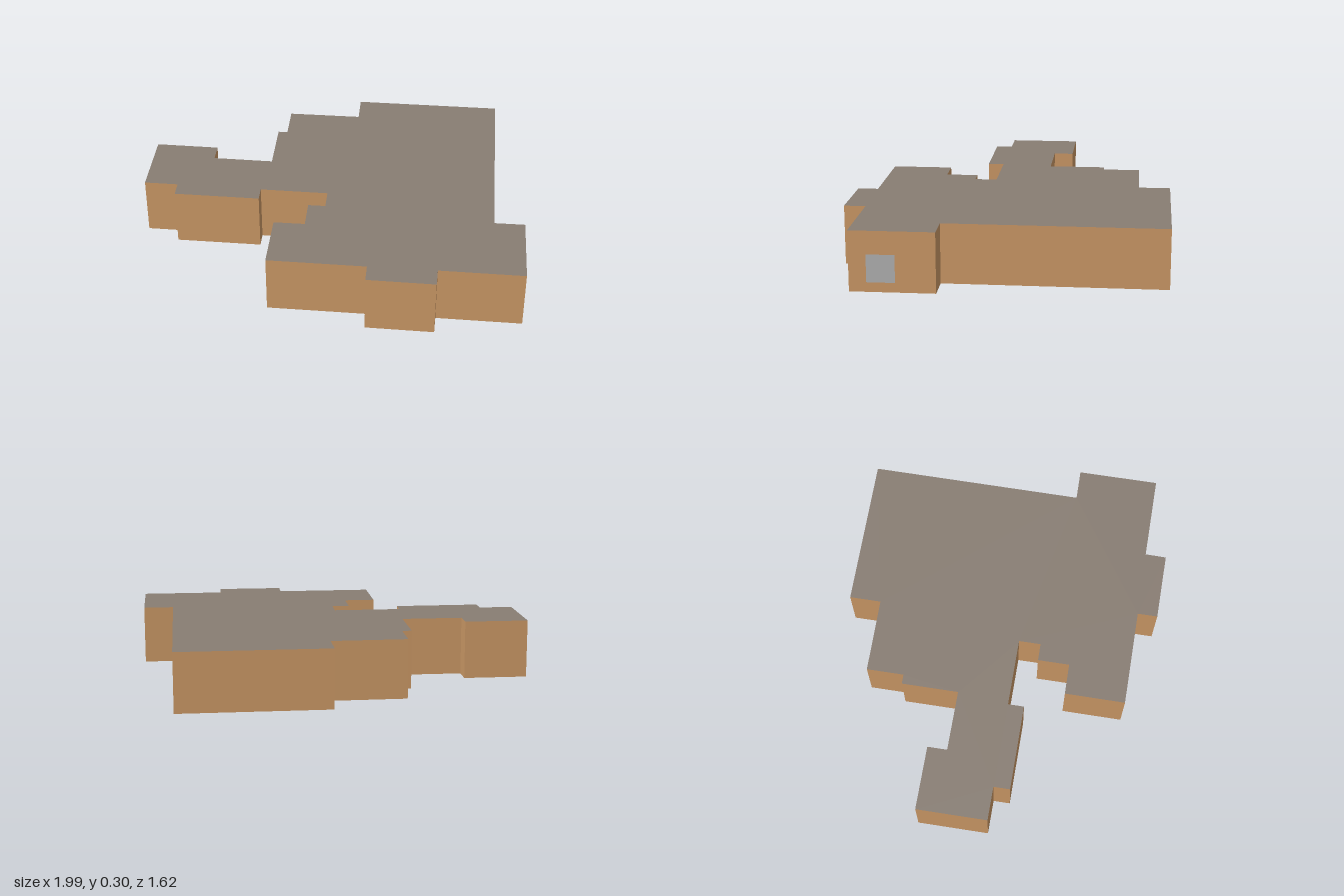
import * as THREE from 'three';
import { mergeGeometries } from 'three/addons/utils/BufferGeometryUtils.js';

const HEIGHT = 0.3;

// Floor plan corners as [x, z], running round from the back edge
const PLAN = [
  [0.07, -0.81], [0.835, -0.805], [0.83, 0.29], [0.985, 0.29],
  [0.985, 0.705], [0.557, 0.70], [0.555, 0.808], [0.213, 0.803],
  [0.213, 0.70], [-0.284, 0.695], [-0.283, 0.383], [-0.124, 0.383],
  [-0.124, 0.22], [-0.035, 0.22], [-0.035, 0.107], [-0.385, 0.103],
  [-0.385, 0.186], [-0.826, 0.182], [-0.826, 0.097], [-1, 0.095],
  [-1, -0.271], [-0.672, -0.267], [-0.672, -0.165], [-0.36, -0.161],
  [-0.36, -0.455], [-0.311, -0.456], [-0.311, -0.648], [0.07, -0.648],
];

// One upright panel between two plan corners, facing outwards
function wallPanel([ax, az], [bx, bz]) {
  const panel = new THREE.PlaneGeometry(Math.hypot(bx - ax, bz - az), HEIGHT);
  panel.rotateY(Math.atan2(bz - az, ax - bx));
  return panel.translate((ax + bx) / 2, HEIGHT / 2, (az + bz) / 2);
}

export function createModel() {
  const wallPaint = new THREE.MeshStandardMaterial({ color: 0xcc9966, side: THREE.DoubleSide });
  wallPaint.name = 'tan wall';
  const roofPaint = new THREE.MeshStandardMaterial({ color: 0x887d73, side: THREE.DoubleSide });
  roofPaint.name = 'grey brown roof';
  const windowPaint = new THREE.MeshStandardMaterial({ color: 0xb2b2b2 });
  windowPaint.name = 'window grey';

  const building = new THREE.Group();
  building.name = 'building';
  const add = (name, geometry, material) => {
    const mesh = new THREE.Mesh(geometry, material);
    mesh.name = name;
    building.add(mesh);
    return mesh;
  };

  // Walls: an open shell around the plan, with no floor
  const panels = PLAN.map((corner, i) => wallPanel(corner, PLAN[(i + 1) % PLAN.length]));
  add('walls', mergeGeometries(panels), wallPaint);

  // Flat roof over the same plan
  const outline = new THREE.Shape(PLAN.map(([x, z]) => new THREE.Vector2(x, -z)));
  const roof = new THREE.ShapeGeometry(outline).rotateX(-Math.PI / 2);
  add('roof', roof.translate(0, HEIGHT, 0), roofPaint);

  // Single window on the +x end wall
  const pane = new THREE.PlaneGeometry(0.137, 0.137).rotateY(Math.PI / 2);
  add('window', pane, windowPaint).position.set(0.988, 0.117, 0.552);

  return building;
}
